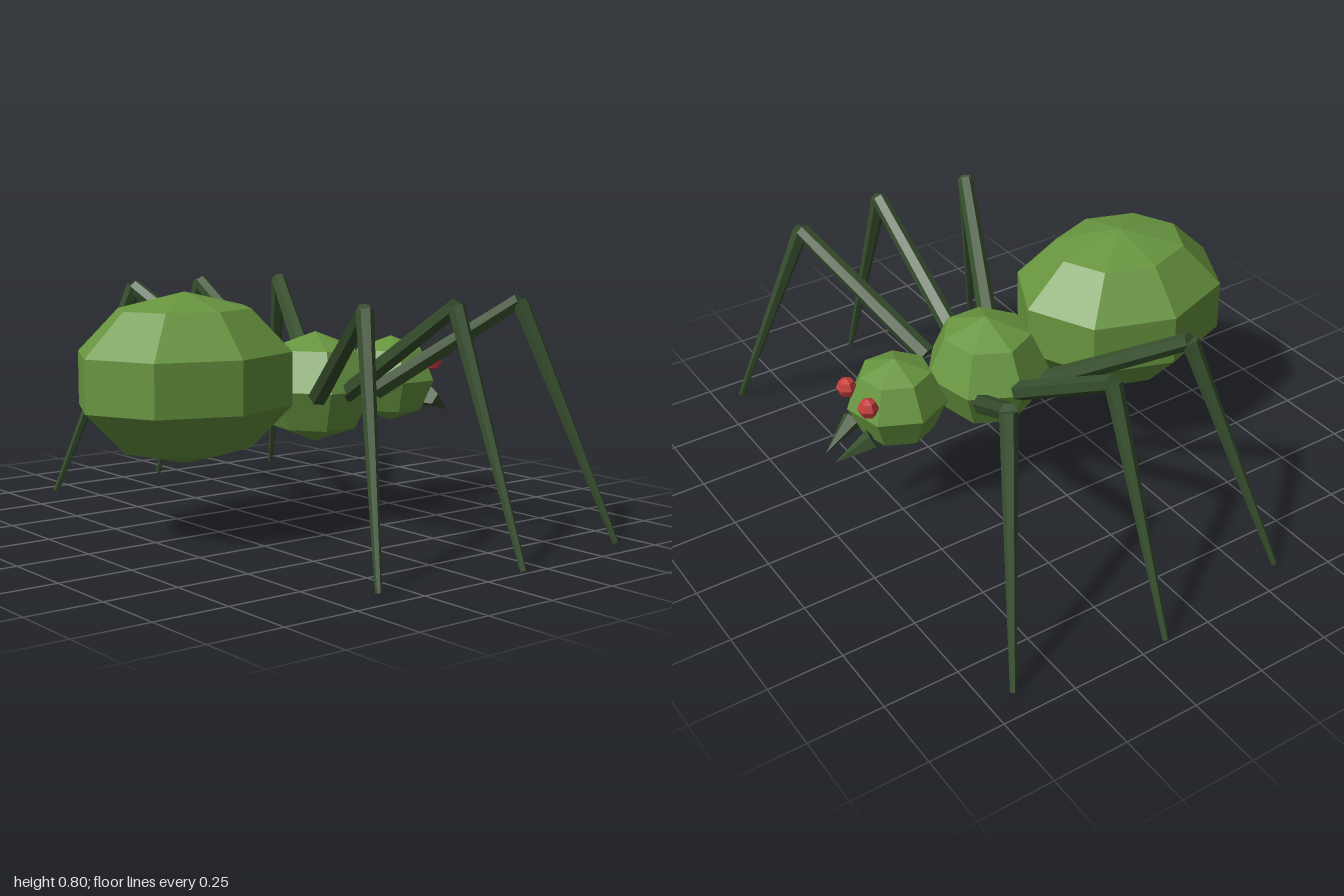
import * as THREE from 'three';

const flat = (name, color) => {
  const m = new THREE.MeshStandardMaterial({ color });
  m.name = name;
  m.flatShading = true;
  return m;
};

export function createModel() {
  const model = new THREE.Group();
  const green = flat('leafGreen', 0x689640);
  const dark = flat('darkGreen', 0x38502e);
  const red = flat('eyeRed', 0xc63e3c);

  // Faceted ellipsoid with one corner pointing to the back
  const blob = (name, mat, [x, y, z], [rx, ry, rz], sides, rings) => {
    const geo = new THREE.SphereGeometry(1, sides, rings);
    geo.rotateY(-Math.PI / 2);
    geo.scale(rx, ry, rz);
    const mesh = new THREE.Mesh(geo, mat);
    mesh.name = name;
    mesh.position.set(x, y, z);
    model.add(mesh);
  };

  // Tapered rod between two points
  const rod = (name, parent, from, to, r0, r1, sides) => {
    const a = new THREE.Vector3(...from), b = new THREE.Vector3(...to);
    const dir = b.clone().sub(a);
    const mesh = new THREE.Mesh(new THREE.CylinderGeometry(r1, r0, dir.length(), sides), dark);
    mesh.name = name;
    mesh.position.copy(a).add(b).multiplyScalar(0.5);
    mesh.quaternion.setFromUnitVectors(new THREE.Vector3(0, 1, 0), dir.normalize());
    parent.add(mesh);
  };

  // Body
  blob('abdomen', green, [-0.38, 0.527, 0], [0.392, 0.278, 0.333], 8, 5);
  blob('thorax', green, [0.157, 0.455, 0], [0.205, 0.19, 0.218], 7, 4);
  blob('head', green, [0.5, 0.457, 0], [0.165, 0.152, 0.165], 7, 4);

  // Hip, knee and foot of the three legs on one side
  const legs = [
    ['rear', [0.03, 0.45, 0.175], [-0.168, 0.775, 0.635], [-0.347, 0.005, 0.913]],
    ['middle', [0.157, 0.45, 0.17], [0.157, 0.775, 0.685], [0.157, 0.005, 0.99]],
    ['front', [0.285, 0.45, 0.175], [0.487, 0.775, 0.635], [0.661, 0.005, 0.913]],
  ];
  for (const s of [1, -1]) {
    const side = s > 0 ? 'Near' : 'Far';
    const flip = ([x, y, z]) => [x, y, z * s];
    for (const [name, hip, knee, foot] of legs) {
      const leg = new THREE.Group();
      leg.name = name + 'Leg' + side;
      rod('upperLeg', leg, flip(hip), flip(knee), 0.034, 0.027, 6);
      rod('lowerLeg', leg, flip(knee), flip(foot), 0.028, 0.01, 6);
      model.add(leg);
    }
    // Eyes and fangs
    blob('eye' + side, red, [0.64, 0.514, 0.07 * s], [0.034, 0.034, 0.034], 6, 4);
    rod('fang' + side, model, [0.63, 0.388, 0.065 * s], [0.75, 0.323, 0.03 * s], 0.035, 0, 5);
  }
  return model;
}
